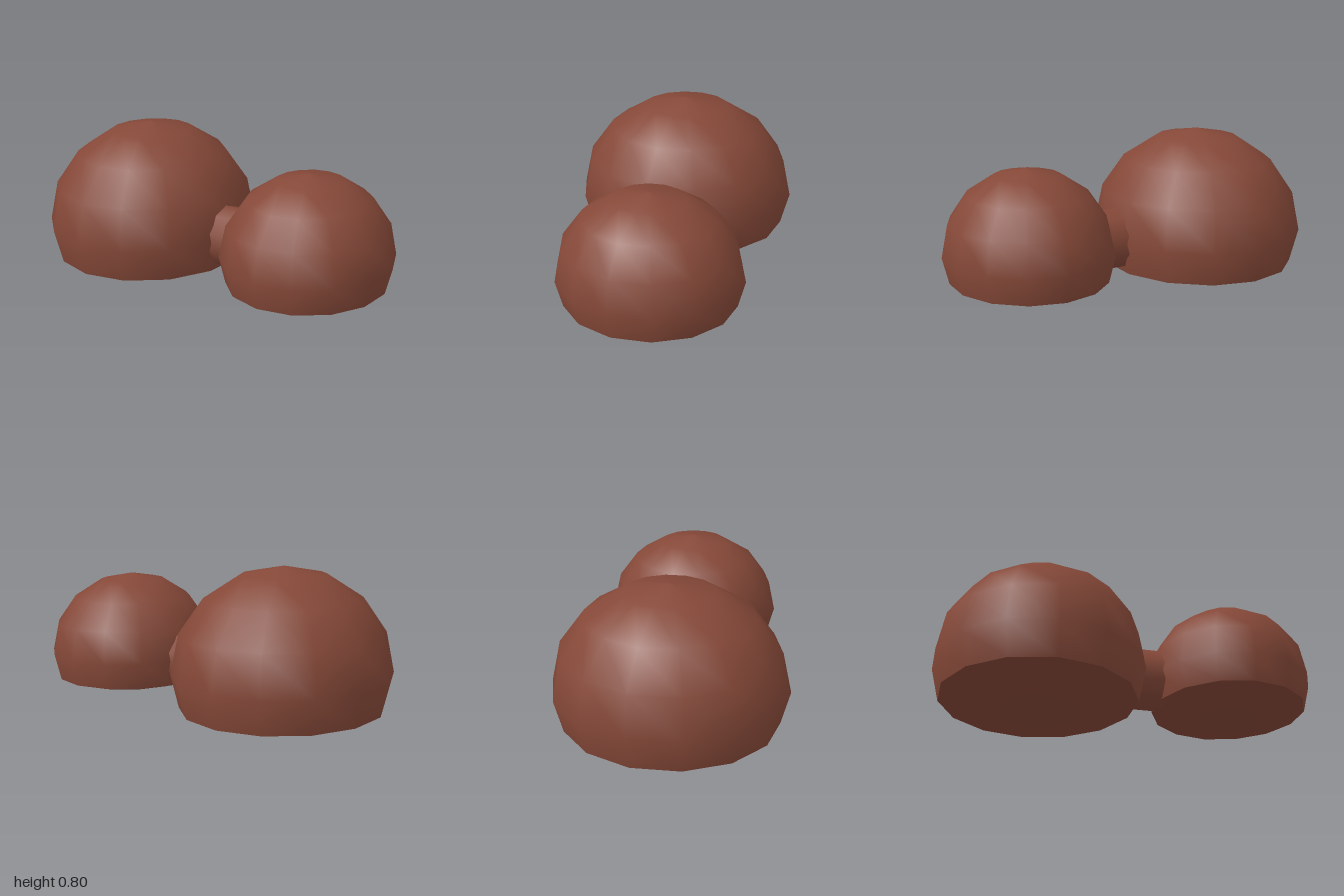
import * as THREE from 'three';

const brown = new THREE.MeshStandardMaterial({ color: 0x854838 });
brown.name = 'reddish brown';

// Dome with a sharp rim and a shallow curved underside, origin at its widest ring
function makeLobe(name, size) {
  const lobe = new THREE.Group();
  lobe.name = name;
  const rim = new THREE.Vector2(0.6 * Math.cos(Math.PI / 8), -0.175);

  // Upper profile: rim, then 22.5 degree steps up to the pole
  const upper = [rim];
  for (let i = 0; i <= 4; i++) {
    const a = (i * Math.PI) / 8;
    upper.push(new THREE.Vector2(i === 4 ? 0 : 0.6 * Math.cos(a), 0.55 * Math.sin(a)));
  }
  // Lower profile: centre of the underside out to the rim
  const lower = [
    new THREE.Vector2(0, -0.245),
    new THREE.Vector2(0.23, -0.235),
    new THREE.Vector2(0.424, -0.21),
    rim,
  ];

  for (const [part, profile] of [['Dome', upper], ['Underside', lower]]) {
    const mesh = new THREE.Mesh(new THREE.LatheGeometry(profile, 14), brown);
    mesh.name = name + part;
    lobe.add(mesh);
  }
  lobe.scale.set(size * 0.925, size, size);
  return lobe;
}

export function createModel() {
  const model = new THREE.Group();
  model.name = 'twinLobes';

  const large = makeLobe('largeLobe', 1);
  large.position.set(-0.459, 0.25, 0);

  const small = makeLobe('smallLobe', 0.79);
  small.position.set(0.565, 0.25, -0.004);
  small.rotation.y = -0.02;

  // Short ten-sided neck joining the lobes
  const neck = new THREE.Mesh(
    new THREE.CylinderGeometry(0.164, 0.164, 0.22, 10, 1, false, Math.PI / 2), brown);
  neck.name = 'neck';
  neck.rotation.z = Math.PI / 2;
  neck.position.set(0.085, 0.248, 0);

  model.add(large, small, neck);
  return model;
}
